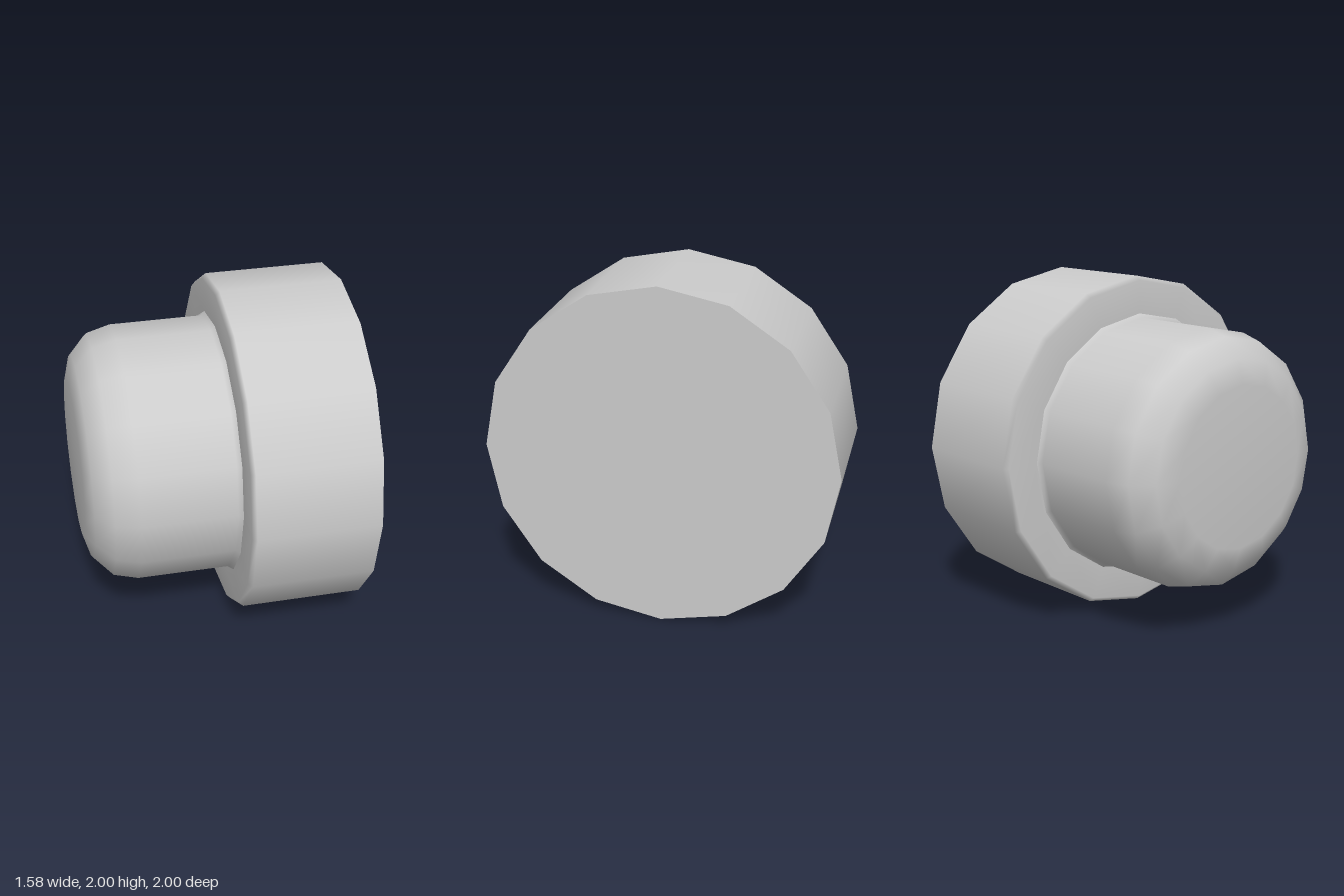
import * as THREE from 'three';

const SIDES = 16;

// Turned surface around the x axis; profile points are [radius, x] from -x to +x
function turned(name, profile, material) {
  const points = profile.map(([r, x]) => new THREE.Vector2(r, x));
  const geometry = new THREE.LatheGeometry(points, SIDES);
  geometry.rotateZ(-Math.PI / 2);
  const mesh = new THREE.Mesh(geometry, material);
  mesh.name = name;
  mesh.position.y = 1;
  return mesh;
}

export function createModel() {
  const group = new THREE.Group();
  group.name = 'steppedKnob';
  const material = new THREE.MeshStandardMaterial({ color: 0xcccccc });

  // Narrow body with rounded nose and a small fillet into the collar
  group.add(turned('roundedBody', [
    [0, -0.79], [0.47, -0.79], [0.61, -0.75], [0.72, -0.65],
    [0.757, -0.51], [0.757, 0.03], [0.78, 0.055],
  ], material));

  // Wide collar with a chamfered shoulder
  group.add(turned('collar', [
    [0.78, 0.055], [0.975, 0.055], [1, 0.08], [1, 0.785],
  ], material));

  // Flat end face, separate so its rim stays sharp
  const end = new THREE.Mesh(new THREE.CircleGeometry(1, SIDES), material);
  end.name = 'endFace';
  end.rotation.y = Math.PI / 2;
  end.position.set(0.785, 1, 0);
  group.add(end);

  return group;
}
